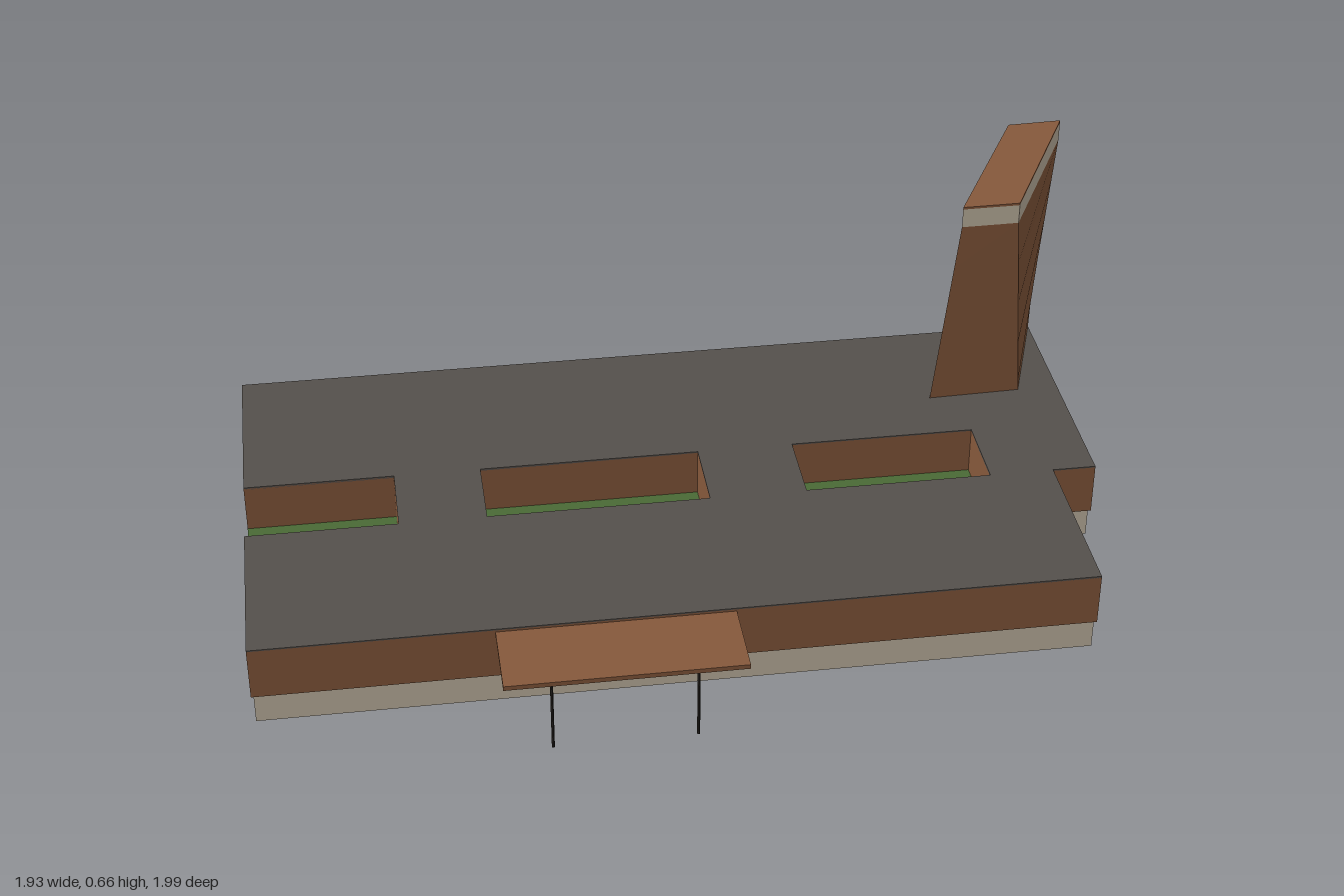
import * as THREE from 'three';

const mat = (color) => new THREE.MeshStandardMaterial({ color, side: THREE.DoubleSide, flatShading: true });

export function createModel() {
  const model = new THREE.Group();
  const brick = mat(0x86593c), stone = mat(0xc4b8a4), slate = mat(0x55504c), grass = mat(0x4a6a35), dark = mat(0x2a2622);

  const add = (parent, name, geometry, material, x = 0, y = 0, z = 0) => {
    const mesh = new THREE.Mesh(geometry, material);
    mesh.name = name;
    mesh.position.set(x, y, z);
    parent.add(mesh);
    return mesh;
  };

  // Walls between two rings of [x, z] corners, optionally closed on top
  const ring = (low, y0, high, y1, capped = false) => {
    const p = [];
    const n = low.length;
    for (let i = 0; i < n; i++) {
      const j = (i + 1) % n;
      const a = [low[i][0], y0, low[i][1]], b = [low[j][0], y0, low[j][1]];
      const c = [high[j][0], y1, high[j][1]], d = [high[i][0], y1, high[i][1]];
      p.push(...a, ...b, ...c, ...a, ...c, ...d);
    }
    if (capped) {
      for (let i = 1; i < n - 1; i++) {
        for (const k of [0, i, i + 1]) p.push(high[k][0], y1, high[k][1]);
      }
    }
    const g = new THREE.BufferGeometry();
    g.setAttribute('position', new THREE.Float32BufferAttribute(p, 3));
    g.computeVertexNormals();
    return g;
  };
  const rect = (u0, u1, v0, v1) => [[u0, v1], [u1, v1], [u1, v0], [u0, v0]];

  // Everything but the tower shares one diagonal axis
  const site = new THREE.Group();
  site.name = 'building';
  site.rotation.y = 0.685;
  model.add(site);

  // Hollow block: inset stone plinth, brick walls, flat slate roof
  const block = (name, u0, u1, v0, v1) => {
    const g = new THREE.Group();
    g.name = name;
    const e = 0.005;
    const outer = rect(u0, u1, v0, v1), inner = rect(u0 + e, u1 - e, v0 + e, v1 - e);
    add(g, 'plinth', ring(inner, 0, inner, 0.065), stone);
    add(g, 'walls', ring(outer, 0.065, outer, 0.178), brick);
    add(g, 'roof', new THREE.BoxGeometry(u1 - u0, 0.005, v1 - v0), slate, (u0 + u1) / 2, 0.1785, (v0 + v1) / 2);
    site.add(g);
  };
  block('backWing', -0.907, 0.896, -0.42, -0.016);
  block('frontWing', -0.907, 0.803, 0.158, 0.538);
  const links = [[-0.59, -0.406], [0.063, 0.269], [0.666, 0.896]];
  for (const [u0, u1] of links) block('linkBlock', u0, u1, -0.016, 0.158);

  // Courtyard lawns in the gaps between links
  let start = -0.907;
  for (const [u0, u1] of links) {
    add(site, 'lawn', new THREE.BoxGeometry(u0 - start, 0.004, 0.174), grass, (start + u0) / 2, 0.073, 0.071);
    start = u1;
  }

  // Entrance canopy on two thin posts
  add(site, 'canopy', new THREE.BoxGeometry(0.48, 0.01, 0.17), brick, -0.182, 0.169, 0.623);
  for (const u of [-0.328, -0.041]) {
    add(site, 'canopyPost', new THREE.CylinderGeometry(0.003, 0.003, 0.165, 8), dark, u, 0.0825, 0.692);
  }

  // Tapered tower with a stone band under its top
  const tower = new THREE.Group();
  tower.name = 'tower';
  model.add(tower);
  const base = [[0.355, -0.49], [0.532, -0.645], [0.383, -0.97], [0.235, -0.83]];
  const top = [[0.41, -0.525], [0.505, -0.605], [0.42, -1.0], [0.33, -0.92]];
  const at = (y) => base.map(([x, z], i) => [x + (top[i][0] - x) * y / 0.615, z + (top[i][1] - z) * y / 0.615]);
  const steps = 6;
  for (let i = 0; i < steps; i++) {
    const y0 = 0.615 * i / steps, y1 = 0.615 * (i + 1) / steps;
    add(tower, 'towerShaft', ring(at(y0), y0, at(y1), y1), brick);
  }
  add(tower, 'towerBand', ring(top, 0.615, top, 0.658), stone);
  add(tower, 'towerCap', ring(top, 0.658, top, 0.663, true), brick);

  return model;
}
